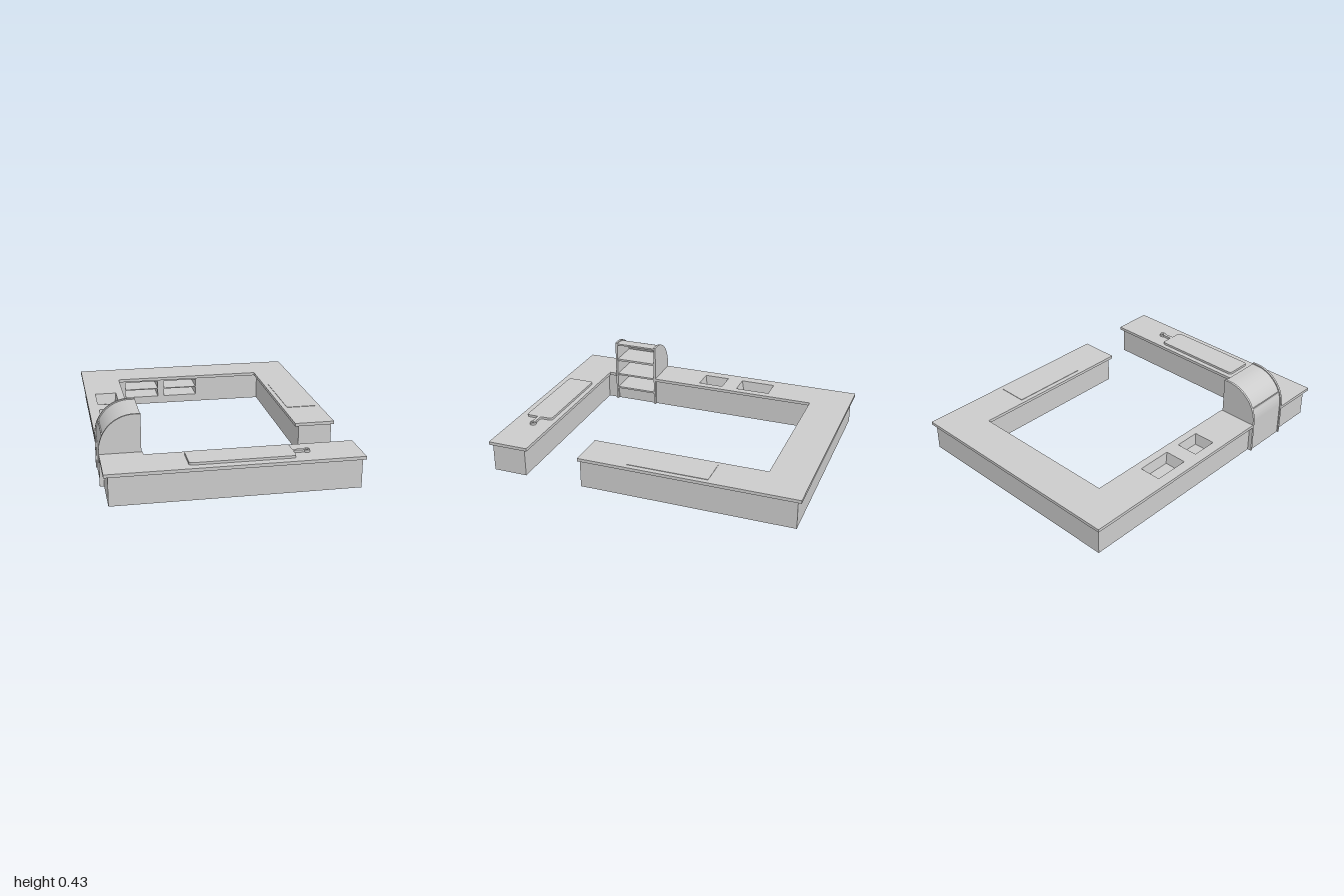
import * as THREE from 'three';
import { toCreasedNormals } from 'three/addons/utils/BufferGeometryUtils.js';

const TOP = 0.2, UNDER = 0.18;
const solid = new THREE.MeshStandardMaterial({ color: 0xcccccc });
const thin = new THREE.MeshStandardMaterial({ color: 0xcccccc, side: THREE.DoubleSide, flatShading: true });

function add(parent, name, geometry, material = solid) {
  const mesh = new THREE.Mesh(geometry, material);
  mesh.name = name;
  parent.add(mesh);
  return mesh;
}

// Box given by its limits on each axis
function box(parent, name, x0, x1, y0, y1, z0, z1) {
  const mesh = add(parent, name, new THREE.BoxGeometry(x1 - x0, y1 - y0, z1 - z0));
  mesh.position.set((x0 + x1) / 2, (y0 + y1) / 2, (z0 + z1) / 2);
  return mesh;
}

const polygon = pts => new THREE.Shape(pts.map(p => new THREE.Vector2(...p)));
const rectangle = (x0, x1, y0, y1) => [[x0, y0], [x1, y0], [x1, y1], [x0, y1]];

// Flat slab drawn in (x, z) with its upper face at the given height
function slab(parent, name, shape, top, thickness) {
  const geo = new THREE.ExtrudeGeometry(shape, { depth: thickness, bevelEnabled: false, curveSegments: 10 });
  geo.rotateX(Math.PI / 2).translate(0, top, 0);
  return add(parent, name, toCreasedNormals(geo, 0.6));
}

// Upright single-sheet wall between two floor points
function wall(parent, name, [x0, z0], [x1, z1]) {
  const geo = new THREE.PlaneGeometry(Math.hypot(x1 - x0, z1 - z0), UNDER);
  geo.rotateY(-Math.atan2(z1 - z0, x1 - x0));
  geo.translate((x0 + x1) / 2, UNDER / 2, (z0 + z1) / 2);
  add(parent, name, geo, thin);
}

function basinAt(parent, x0, x1, z0, z1) {
  const basin = new THREE.Group();
  basin.name = 'sinkBasin';
  const depth = 0.07, taper = 0.86;
  const sides = new THREE.CylinderGeometry(Math.SQRT1_2, Math.SQRT1_2 * taper, depth, 4, 1, true);
  sides.rotateY(Math.PI / 4).translate(0, -depth / 2, 0);
  add(basin, 'basinSides', sides, thin);
  const floor = new THREE.PlaneGeometry(taper, taper).rotateX(-Math.PI / 2).translate(0, -depth, 0);
  add(basin, 'basinFloor', floor, thin);
  basin.position.set((x0 + x1) / 2, TOP - 0.001, (z0 + z1) / 2);
  basin.scale.set(x1 - x0, 1, z1 - z0);
  parent.add(basin);
}

// Side profile of the roll-top cabinet, inset from its outer curve by t
function cabinetProfile(t, front = -0.508) {
  const s = new THREE.Shape();
  s.moveTo(front, 0);
  s.lineTo(front, 0.433 - t);
  s.lineTo(-0.545, 0.433 - t);
  s.absellipse(-0.545, 0.22, 0.21 - t, 0.213 - t, Math.PI / 2, Math.PI, false);
  s.lineTo(-0.755 + t, 0);
  return s;
}

function buildCabinet() {
  const cabinet = new THREE.Group();
  cabinet.name = 'rollTopCabinet';
  const z0 = 0.388, z1 = 0.694, t = 0.014;
  for (const z of [z0, z1 - t]) {
    const geo = new THREE.ExtrudeGeometry(cabinetProfile(0), { depth: t, bevelEnabled: false, curveSegments: 24 });
    add(cabinet, 'cabinetSide', toCreasedNormals(geo.translate(0, 0, z), 0.5));
  }
  // Curved back and roof as a shell slightly inset from the sides
  const outer = cabinetProfile(0.007).getPoints(24).slice(1);
  const inner = cabinetProfile(0.018).getPoints(24).slice(1).reverse();
  const shell = new THREE.ExtrudeGeometry(new THREE.Shape([...outer, ...inner]),
    { depth: z1 - z0 - 2 * t, bevelEnabled: false });
  add(cabinet, 'curvedShell', toCreasedNormals(shell.translate(0, 0, z0 + t), 0.5));
  // Shelf boards
  for (const [y0, y1] of [[0.08, 0.092], [0.184, 0.196], [0.295, 0.309]])
    box(cabinet, 'cabinetShelf', -0.735, -0.51, y0, y1, z0 + t, z1 - t);
  box(cabinet, 'kickPanel', -0.535, -0.525, 0, 0.08, z0 + t, z1 - t);
  return cabinet;
}

// Two open compartments set into the inner back wall
function buildBackShelves(parent, openings, y0, y1) {
  const front = -0.765, rear = -0.94, t = 0.006;
  for (const [x0, x1] of openings) {
    const unit = new THREE.Group();
    unit.name = 'shelfCompartment';
    for (const y of [y0, (y0 + y1) / 2, y1])
      box(unit, 'shelfBoard', x0 - t, x1 + t, y - t / 2, y + t / 2, rear, front - 0.001);
    for (const x of [x0 - t / 2, x1 + t / 2])
      box(unit, 'shelfSide', x - t / 2, x + t / 2, y0, y1, rear, front - 0.001);
    box(unit, 'shelfBack', x0, x1, y0, y1, rear - t, rear);
    parent.add(unit);
  }
}

function buildBoard() {
  // Rounded board with a necked handle and a hanging hole
  const x0 = -0.27, x1 = 0.352, z0 = 0.77, z1 = 0.95, r = 0.022, zc = 0.86, n = 0.011, hx = 0.436, hr = 0.02;
  const s = new THREE.Shape();
  s.moveTo(x0 + r, z0);
  s.lineTo(x1 - r, z0);
  s.quadraticCurveTo(x1, z0, x1, z0 + r);
  s.lineTo(x1, zc - n - 0.008);
  s.quadraticCurveTo(x1, zc - n, x1 + 0.012, zc - n);
  const a = Math.asin(n / hr);
  s.absarc(hx, zc, hr, Math.PI + a, 3 * Math.PI - a, false);
  s.lineTo(x1 + 0.012, zc + n);
  s.quadraticCurveTo(x1, zc + n, x1, zc + n + 0.008);
  s.lineTo(x1, z1 - r);
  s.quadraticCurveTo(x1, z1, x1 - r, z1);
  s.lineTo(x0 + r, z1);
  s.quadraticCurveTo(x0, z1, x0, z1 - r);
  s.lineTo(x0, z0 + r);
  s.quadraticCurveTo(x0, z0, x0 + r, z0);
  s.holes.push(new THREE.Path().absarc(hx, zc, 0.01, 0, Math.PI * 2, true));
  return s;
}

export function createModel() {
  const model = new THREE.Group();
  model.name = 'kitchenCounter';

  // Worktops: a U with two sink cut-outs, and a front bar joined to it by the cabinet
  const sinks = [[-0.69, -0.55, -0.435, -0.205], [-0.69, -0.55, -0.1, 0.068]];
  const mainTop = polygon([[-0.755, -1], [0.753, -1], [0.753, 0.39], [0.5, 0.39], [0.5, -0.74],
    [-0.5, -0.74], [-0.5, 0.388], [-0.755, 0.388]]);
  for (const s of sinks) {
    mainTop.holes.push(polygon(rectangle(...s)));
    basinAt(model, ...s);
  }
  slab(model, 'mainWorktop', mainTop, TOP, TOP - UNDER);
  slab(model, 'frontWorktop', polygon([[-0.755, 0.694], [-0.5, 0.694], [-0.5, 0.737], [0.753, 0.737],
    [0.753, 1], [-0.755, 1]]), TOP, TOP - UNDER);

  // Hollow base cabinets, open underneath
  const base = new THREE.Group();
  base.name = 'baseCabinets';
  const runs = [
    [[-0.525, 0.388], [-0.525, -0.765]],
    [[0.525, -0.765], [0.525, 0.38], [0.738, 0.38], [0.738, -0.977], [-0.73, -0.977], [-0.73, 0.388]],
    [[-0.73, 0.694], [-0.73, 0.98], [0.738, 0.98], [0.738, 0.76], [-0.525, 0.76], [-0.525, 0.694]],
  ];
  for (const run of runs)
    for (let i = 1; i < run.length; i++) wall(base, 'baseWall', run[i - 1], run[i]);
  const openings = [[-0.45, -0.215], [-0.17, 0.065]], y0 = 0.05, y1 = 0.168;
  const innerBack = polygon(rectangle(-0.525, 0.525, 0, UNDER));
  for (const [a, b] of openings) innerBack.holes.push(polygon(rectangle(a, b, y0, y1)));
  add(base, 'innerBackWall', new THREE.ShapeGeometry(innerBack).translate(0, 0, -0.765), thin);
  buildBackShelves(base, openings, y0, y1);
  model.add(base);

  model.add(buildCabinet());
  slab(model, 'cuttingBoard', buildBoard(), 0.215, 0.015);
  box(model, 'cooktop', 0.53, 0.72, TOP - 0.002, TOP + 0.003, -0.435, 0.08);
  return model;
}
